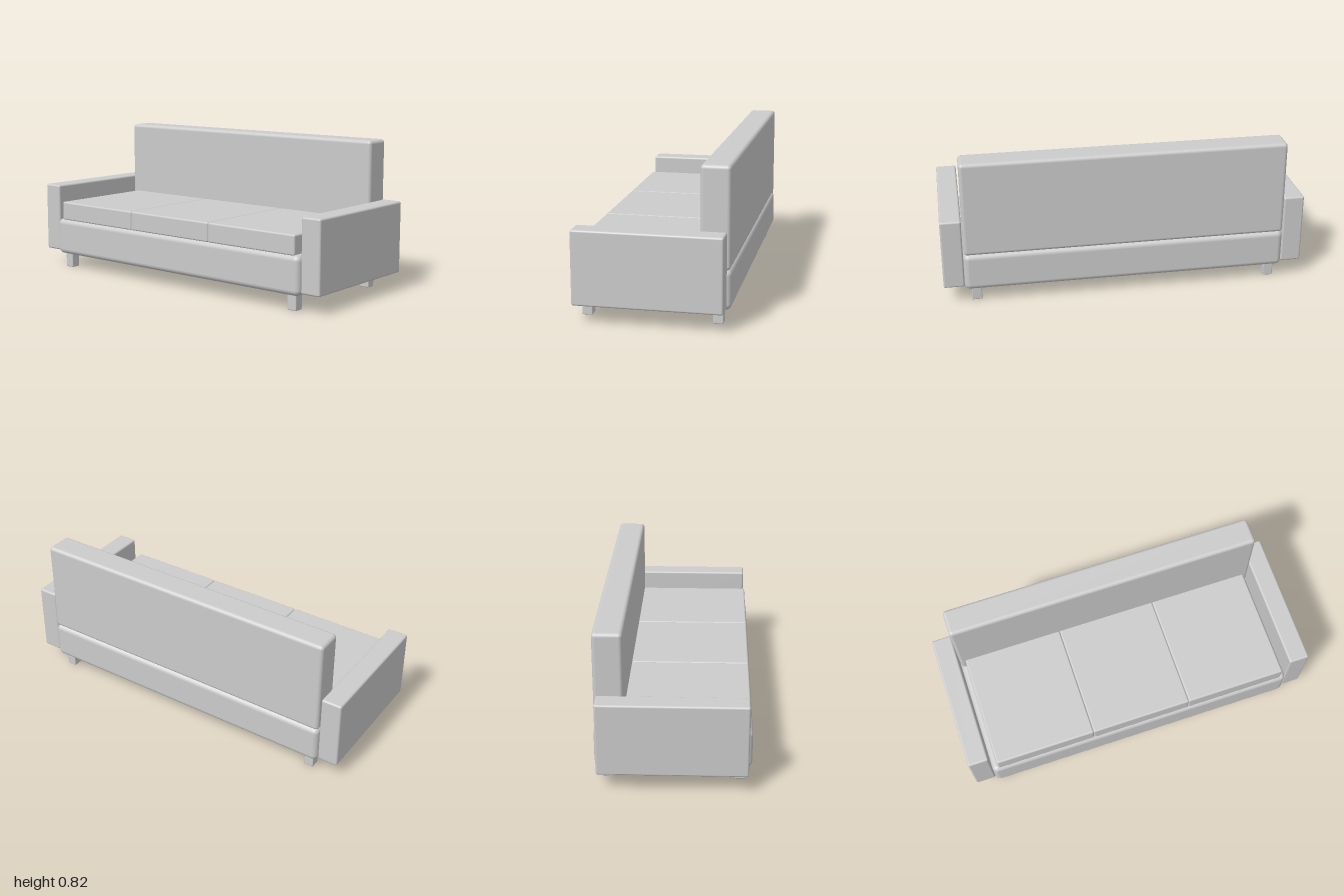
import * as THREE from 'three';
import { RoundedBoxGeometry } from 'three/addons/geometries/RoundedBoxGeometry.js';

const material = new THREE.MeshStandardMaterial({ color: 0xcccccc });

// Rounded block given by its extents along each axis
function block(name, [x0, x1], [y0, y1], [z0, z1], radius, segments = 4) {
  const geometry = new RoundedBoxGeometry(x1 - x0, y1 - y0, z1 - z0, segments, radius);
  const mesh = new THREE.Mesh(geometry, material);
  mesh.name = name;
  mesh.position.set((x0 + x1) / 2, (y0 + y1) / 2, (z0 + z1) / 2);
  return mesh;
}

export function createModel() {
  const sofa = new THREE.Group();
  sofa.name = 'sofa';

  // Upholstered base and tall backrest
  sofa.add(block('base', [-0.885, 0.885], [0.082, 0.291], [-0.405, 0.405], 0.03));
  sofa.add(block('backrest', [-0.882, 0.882], [0.287, 0.817], [-0.4, -0.247], 0.02));

  // Three seat cushions side by side, tucked under the backrest's front
  const cushionWidth = 0.567;
  for (let i = 0; i < 3; i++) {
    const x = -0.85 + i * cushionWidth;
    sofa.add(block(`seatCushion${i + 1}`, [x, x + cushionWidth], [0.286, 0.394], [-0.255, 0.393], 0.01));
  }

  // Mirrored armrests and square legs
  for (const side of [-1, 1]) {
    const label = side > 0 ? 'left' : 'right';
    const span = (a, b) => (side > 0 ? [a, b] : [-b, -a]);
    sofa.add(block(`${label}Armrest`, span(0.886, 1), [0.096, 0.488], [-0.385, 0.385], 0.011));
    sofa.add(block(`${label}FrontLeg`, span(0.795, 0.85), [0, 0.1], [0.317, 0.372], 0.005, 2));
    sofa.add(block(`${label}BackLeg`, span(0.795, 0.85), [0, 0.1], [-0.363, -0.308], 0.005, 2));
  }
  return sofa;
}
